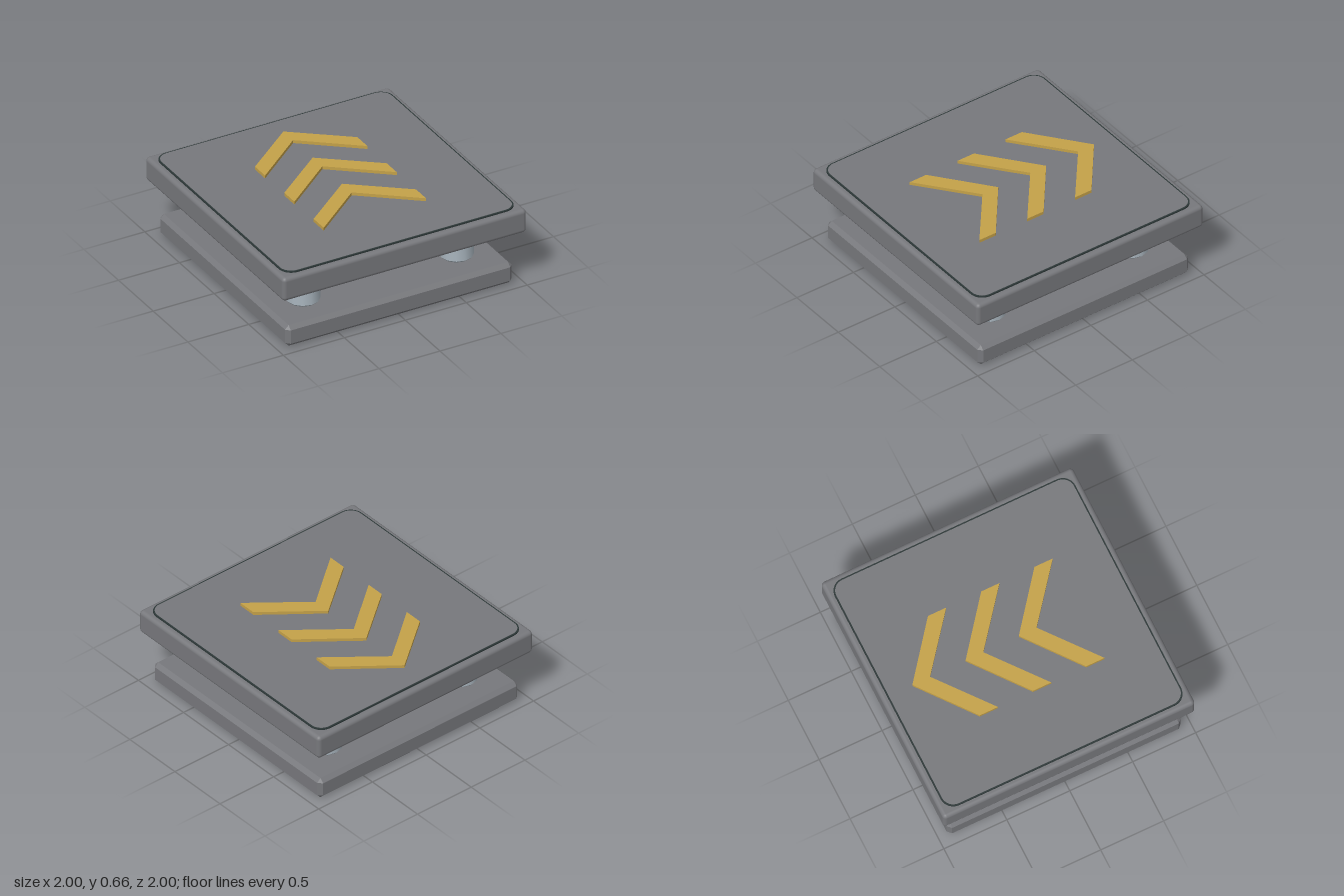
import * as THREE from 'three';
import { RoundedBoxGeometry } from 'three/addons/geometries/RoundedBoxGeometry.js';
import { ConvexGeometry } from 'three/addons/geometries/ConvexGeometry.js';
import { toCreasedNormals } from 'three/addons/utils/BufferGeometryUtils.js';

const material = (name, color) => Object.assign(new THREE.MeshStandardMaterial({ color }), { name });

// Box with every edge cut by a flat chamfer
function chamferBox(w, h, d, c) {
  const points = [];
  for (const x of [-1, 1]) for (const y of [-1, 1]) for (const z of [-1, 1]) {
    for (const k of [0, 1, 2]) {
      points.push(new THREE.Vector3(
        x * (w / 2 - (k === 0 ? 0 : c)),
        y * (h / 2 - (k === 1 ? 0 : c)),
        z * (d / 2 - (k === 2 ? 0 : c))));
    }
  }
  return new ConvexGeometry(points);
}

// Upright slab from a plan outline, spanning y0 to y1
function slab(shape, y0, y1) {
  const g = new THREE.ExtrudeGeometry(shape, { depth: y1 - y0, bevelEnabled: false, curveSegments: 5 });
  return g.rotateX(-Math.PI / 2).translate(0, y0, 0);
}

// Square outline with rounded corners
function roundedSquare(s, r) {
  const shape = new THREE.Shape();
  const a = s - r;
  shape.absarc(a, a, r, 0, Math.PI / 2);
  shape.absarc(-a, a, r, Math.PI / 2, Math.PI);
  shape.absarc(-a, -a, r, Math.PI, Math.PI * 1.5);
  shape.absarc(a, -a, r, Math.PI * 1.5, Math.PI * 2);
  shape.closePath();
  return shape;
}

// Round column with chamfered ends
function column(r, y0, y1, c, sides) {
  const profile = [[0, y0], [r - c, y0], [r, y0 + c], [r, y1 - c], [r - c, y1], [0, y1]];
  const g = new THREE.LatheGeometry(profile.map(([x, y]) => new THREE.Vector2(x, y)), sides);
  return toCreasedNormals(g, 0.6);
}

export function createModel() {
  const model = new THREE.Group();
  model.name = 'jumpPad';
  const grey = material('plate grey', 0x77787c);
  const dark = material('dark rubber', 0x2d3838);
  const steel = material('pale steel', 0xa9b5be);
  const gold = material('gold paint', 0xc4a148);

  const add = (name, geometry, mat, x = 0, y = 0, z = 0) => {
    const mesh = new THREE.Mesh(geometry, mat);
    mesh.name = name;
    mesh.position.set(x, y, z);
    model.add(mesh);
  };

  // Base and upper plate
  add('basePlate', chamferBox(1.86, 0.17, 1.86, 0.03), grey, 0, 0.085, 0);
  add('upperPlate', new RoundedBoxGeometry(2, 0.19, 2, 3, 0.03), grey, 0, 0.53, 0);

  // Dark seam framing the inset panel, above and below
  add('seam', slab(roundedSquare(0.955, 0.1), 0.429, 0.636), dark);
  add('insetPanel', slab(roundedSquare(0.944, 0.09), 0.427, 0.638), grey);

  // Central spring block and corner posts
  add('springBlock', column(0.295, 0.17, 0.43, 0.028, 24), dark);
  const post = column(0.126, 0.17, 0.43, 0.015, 12);
  for (const x of [-0.63, 0.63]) for (const z of [-0.63, 0.63]) add('post', post, steel, x, 0, z);

  // Three raised arrows pointing to the back
  const outline = [[0, 0.76], [-0.42, 0.43], [-0.42, 0.285], [0, 0.62], [0.42, 0.285], [0.42, 0.43]];
  const arrow = slab(new THREE.Shape(outline.map(([x, y]) => new THREE.Vector2(x, y))), 0.637, 0.662);
  for (let i = 0; i < 3; i++) add('chevron', arrow, gold, 0, 0, i * 0.423);

  return model;
}
